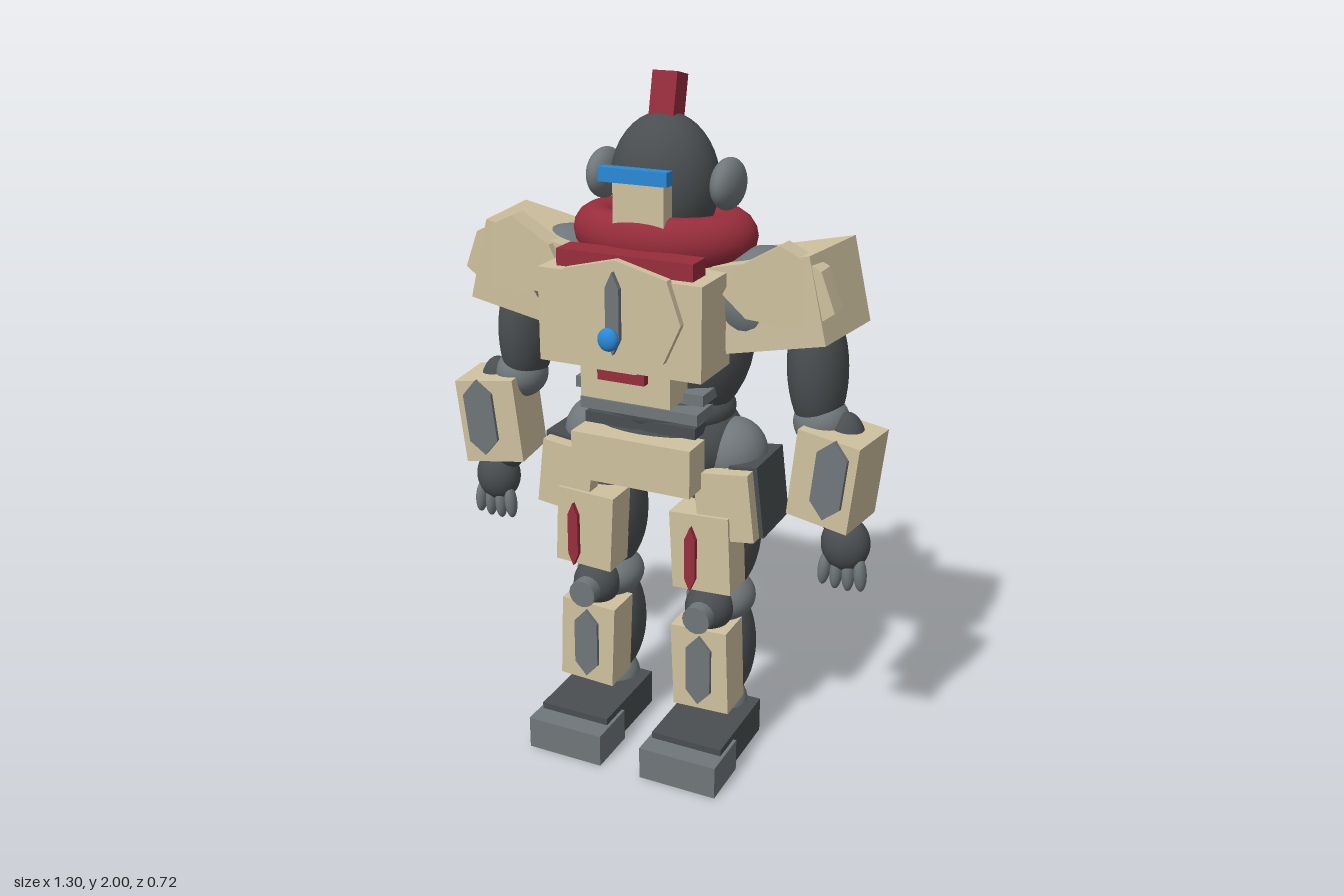
import * as THREE from 'three';

const mat = (color) => new THREE.MeshStandardMaterial({ color });
const dark = mat(0x4a4e50), grey = mat(0x70777a), beige = mat(0xd0c2a0), red = mat(0x982d3c), blue = mat(0x2a8ad8);

export function createModel() {
  const model = new THREE.Group();
  model.name = 'armouredRobot';

  function add(parent, name, geometry, material, pos, rot = [0, 0, 0]) {
    const mesh = new THREE.Mesh(geometry, material);
    mesh.name = name;
    mesh.position.set(...pos);
    mesh.rotation.set(...rot);
    parent.add(mesh);
    return mesh;
  }
  const box = (parent, name, m, size, pos, rot) =>
    add(parent, name, new THREE.BoxGeometry(...size), m, pos, rot);
  const ball = (parent, name, m, radii, pos, rot) =>
    add(parent, name, new THREE.SphereGeometry(1, 32, 20).scale(...radii), m, pos, rot);

  // Flat plate cut from a polygon, its back at z = 0
  function plate(parent, name, m, points, depth, pos, rot) {
    const shape = new THREE.Shape(points.map(([x, y]) => new THREE.Vector2(x, y)));
    const g = new THREE.ExtrudeGeometry(shape, { depth, bevelEnabled: false });
    return add(parent, name, g, m, pos, rot);
  }
  // Long six-sided inlay, w and h are half sizes
  const inlay = (parent, name, m, w, h, depth, pos, rot) =>
    plate(parent, name, m, [[0, -h], [w, -h * 0.62], [w, h * 0.62], [0, h], [-w, h * 0.62], [-w, -h * 0.62]], depth, pos, rot);

  // Head
  const head = new THREE.Group();
  head.name = 'head';
  model.add(head);
  ball(head, 'skull', dark, [0.153, 0.19, 0.133], [0, 1.7, 0]);
  box(head, 'crest', red, [0.073, 0.2, 0.07], [0, 1.89, -0.012], [-0.22, 0, 0]);
  box(head, 'facePlate', beige, [0.15, 0.175, 0.05], [0, 1.668, 0.14]);
  box(head, 'visor', blue, [0.2, 0.038, 0.035], [0, 1.748, 0.182]);
  for (const s of [1, -1]) ball(head, 'earPod', grey, [0.042, 0.07, 0.083], [s * 0.185, 1.71, -0.005]);
  const collar = new THREE.TorusGeometry(0.195, 0.072, 16, 40).rotateX(Math.PI / 2).scale(1, 0.97, 0.7);
  add(model, 'collar', collar, red, [0, 1.565, 0]);

  // Torso
  const torso = new THREE.Group();
  torso.name = 'torso';
  model.add(torso);
  ball(torso, 'body', dark, [0.268, 0.31, 0.172], [0, 1.3, 0]);
  ball(torso, 'waist', dark, [0.212, 0.09, 0.168], [0, 1.07, 0]);
  ball(torso, 'pelvis', dark, [0.25, 0.16, 0.185], [0, 0.965, 0]);
  box(torso, 'chestArmour', beige, [0.48, 0.26, 0.185], [0, 1.375, 0.192]);
  const half = [[0.15, 1.515], [0.19, 1.4], [0.14, 1.29], [0.06, 1.25]];
  const chestOutline = [[0, 1.553], ...half, ...half.map(([x, y]) => [-x, y]).reverse()];
  plate(torso, 'chestPlate', beige, chestOutline, 0.025, [0, 0, 0.28]);
  inlay(torso, 'chestInlay', grey, 0.02, 0.112, 0.017, [0, 1.412, 0.303]);
  ball(torso, 'chestLight', blue, [0.03, 0.032, 0.018], [0, 1.35, 0.342]);
  box(torso, 'upperTrim', red, [0.4, 0.06, 0.08], [0, 1.522, 0.213]);
  box(torso, 'lowerTrim', red, [0.14, 0.05, 0.08], [0, 1.235, 0.235]);
  box(torso, 'abdomenArmour', beige, [0.27, 0.11, 0.11], [0, 1.2, 0.195]);
  box(torso, 'belt', grey, [0.39, 0.032, 0.11], [0, 1.152, 0.115]);
  box(torso, 'belt', grey, [0.36, 0.032, 0.11], [0, 1.095, 0.12]);
  box(torso, 'belt', dark, [0.34, 0.032, 0.1], [0, 1.05, 0.115]);
  box(torso, 'waistPlate', beige, [0.365, 0.14, 0.1], [0, 0.955, 0.178]);

  // Backpack
  box(torso, 'backpack', dark, [0.29, 0.3, 0.16], [0, 1.35, -0.198]);
  for (const s of [1, -1]) box(torso, 'thruster', grey, [0.086, 0.175, 0.08], [s * 0.098, 1.287, -0.317]);

  for (const s of [1, -1]) {
    const side = s > 0 ? 'left' : 'right';

    // Arm
    const arm = new THREE.Group();
    arm.name = side + 'Arm';
    model.add(arm);
    ball(arm, 'shoulderJoint', grey, [0.14, 0.138, 0.15], [s * 0.3, 1.415, 0]);
    box(arm, 'shoulderArmour', beige, [0.3, 0.235, 0.27], [s * 0.376, 1.432, 0.008], [0, s * -0.12, s * 0.24]);
    const guard = [[0.397, 1.6], [0.28, 1.53], [0.24, 1.453], [0.307, 1.395], [0.476, 1.385], [0.55, 1.44], [0.51, 1.545]];
    plate(arm, 'shoulderGuard', beige, guard.map(([x, y]) => [s * x, y]), 0.065, [0, 0, 0.09]);
    ball(arm, 'upperArm', dark, [0.082, 0.2, 0.098], [s * 0.455, 1.235, -0.008], [0, 0, s * 0.06]);
    ball(arm, 'elbow', grey, [0.078, 0.075, 0.08], [s * 0.475, 1.085, 0]);

    // Forearm and its armour share one tilt
    const forearm = new THREE.Group();
    forearm.name = 'forearm';
    forearm.position.set(s * 0.535, 0.957, 0.03);
    forearm.rotation.set(0, s * -0.13, s * -0.11 * -1 * -1);
    arm.add(forearm);
    ball(forearm, 'forearmCore', dark, [0.075, 0.18, 0.075], [0, -0.01, -0.02]);
    box(forearm, 'forearmArmour', beige, [0.185, 0.255, 0.18], [0, 0, 0]);
    inlay(forearm, 'forearmInlay', grey, 0.045, 0.117, 0.015, [s * 0.022, 0.015, 0.088]);

    // Hand
    ball(arm, 'hand', dark, [0.07, 0.08, 0.06], [s * 0.565, 0.74, 0.015]);
    for (let i = 0; i < 4; i++) {
      const drop = i === 1 || i === 2 ? 0 : 0.006;
      ball(arm, 'finger', grey, [0.018, 0.052, 0.022], [s * (0.513 + i * 0.035), 0.657 + drop, 0.035], [0, 0, s * (i - 1.5) * 0.06]);
    }

    // Leg
    const leg = new THREE.Group();
    leg.name = side + 'Leg';
    model.add(leg);
    const x = s * 0.185;
    ball(leg, 'hipJoint', grey, [0.1, 0.105, 0.105], [s * 0.215, 0.945, 0]);
    box(leg, 'hipBox', dark, [0.085, 0.21, 0.195], [s * 0.302, 0.85, 0.012], [0, 0, s * 0.12]);
    box(leg, 'hipSkirt', beige, [0.165, 0.2, 0.05], [s * 0.25, 0.84, 0.125], [0, 0, s * 0.12]);
    ball(leg, 'thigh', dark, [0.107, 0.2, 0.125], [x, 0.69, -0.015]);
    box(leg, 'thighArmour', beige, [0.18, 0.235, 0.11], [x, 0.69, 0.105], [0, 0, s * 0.05]);
    inlay(leg, 'thighStripe', red, 0.016, 0.098, 0.015, [x, 0.702, 0.215]);

    ball(leg, 'knee', grey, [0.102, 0.075, 0.11], [x, 0.485, 0]);
    ball(leg, 'kneeCap', dark, [0.072, 0.072, 0.075], [x, 0.487, 0.085]);
    add(leg, 'kneeBolt', new THREE.CylinderGeometry(0.042, 0.042, 0.06, 16).rotateX(Math.PI / 2), grey, [x, 0.487, 0.155]);

    ball(leg, 'shin', dark, [0.1, 0.19, 0.107], [x, 0.315, -0.018]);
    box(leg, 'shinArmour', beige, [0.175, 0.262, 0.12], [x, 0.312, 0.095], [0, 0, s * 0.04]);
    inlay(leg, 'shinInlay', grey, 0.038, 0.112, 0.014, [x, 0.312, 0.153]);

    ball(leg, 'ankle', grey, [0.078, 0.085, 0.075], [x, 0.108, -0.025]);
    box(leg, 'foot', dark, [0.22, 0.11, 0.305], [x, 0.065, 0.093]);
    box(leg, 'toe', grey, [0.24, 0.1, 0.16], [x, 0.05, 0.23]);
  }

  return model;
}
